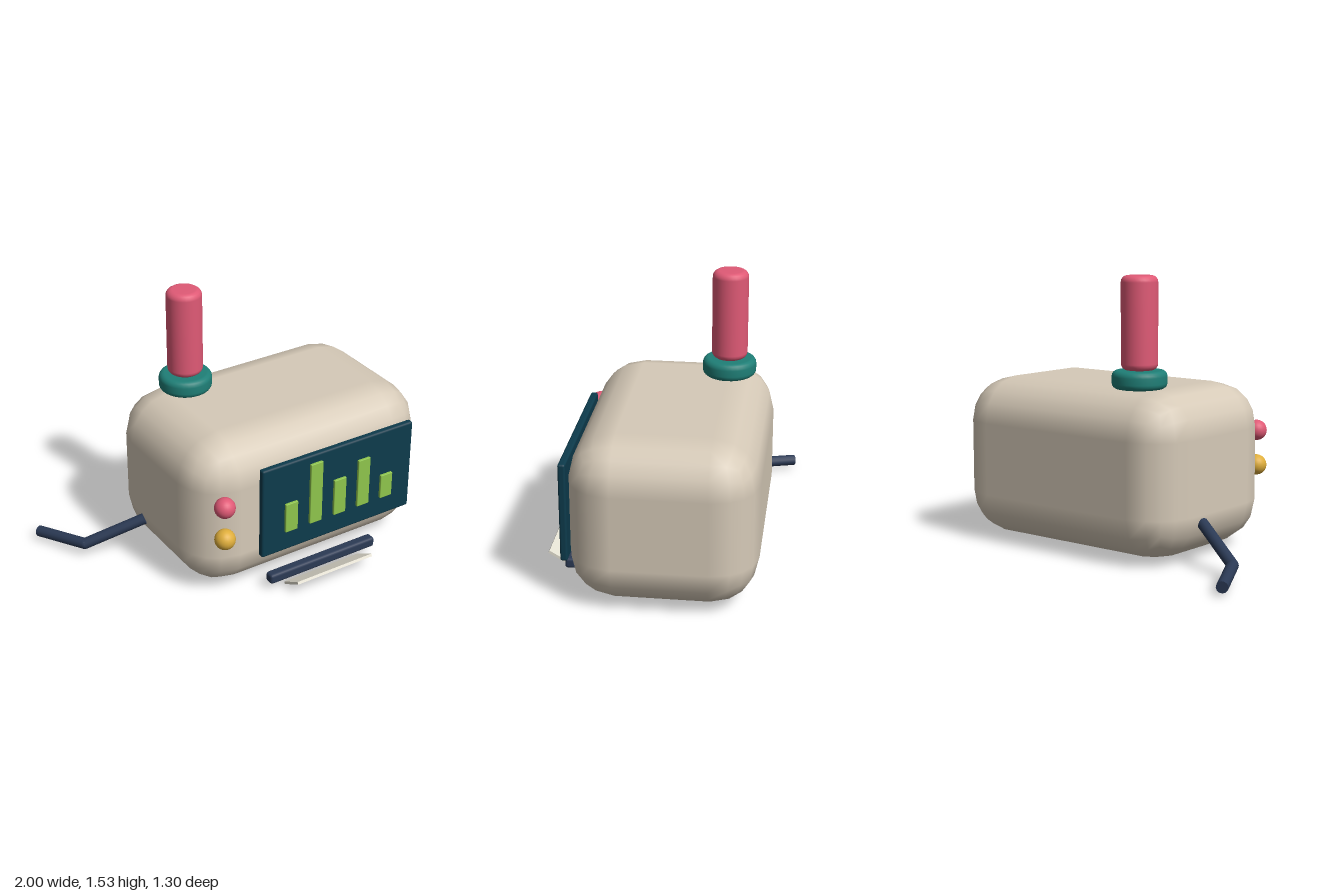
import * as THREE from 'three';
import { RoundedBoxGeometry } from 'three/addons/geometries/RoundedBoxGeometry.js';

const material = (name, color) => {
  const m = new THREE.MeshStandardMaterial({ color });
  m.name = name;
  return m;
};

export function createModel() {
  const model = new THREE.Group();
  const beige = material('beige shell', 0xd6cab8);
  const pink = material('pink', 0xe05a76);
  const teal = material('teal', 0x1f7f77);
  const screenBlue = material('screen blue', 0x0d3b4c);
  const green = material('bar green', 0x8fc64c);
  const amber = material('amber', 0xdfae3c);
  const navy = material('navy', 0x2b3a55);
  const paper = material('paper', 0xe6e2d4);

  const add = (name, geometry, mat, x, y, z, parent = model) => {
    const mesh = new THREE.Mesh(geometry, mat);
    mesh.name = name;
    mesh.position.set(x, y, z);
    parent.add(mesh);
    return mesh;
  };

  // Upright cylinder with rounded rims, standing on y = 0
  const roundedCylinder = (r, h, bevel) => {
    const pts = [new THREE.Vector2(0, 0)];
    for (const [cy, start] of [[bevel, -Math.PI / 2], [h - bevel, 0]]) {
      for (let i = 0; i <= 4; i++) {
        const a = start + (i / 4) * Math.PI / 2;
        pts.push(new THREE.Vector2(r - bevel + Math.cos(a) * bevel, cy + Math.sin(a) * bevel));
      }
    }
    pts.push(new THREE.Vector2(0, h));
    return new THREE.LatheGeometry(pts, 32);
  };

  // Body
  add('body', new RoundedBoxGeometry(1.52, 0.91, 1.0, 2, 0.25), beige, 0.24, 0.475, -0.03);

  // Screen with bar chart
  add('screen', new RoundedBoxGeometry(1.005, 0.555, 0.04, 2, 0.012), screenBlue, 0.343, 0.5025, 0.49);
  const bars = new THREE.Group();
  bars.name = 'chartBars';
  model.add(bars);
  [0.18, 0.38, 0.225, 0.3, 0.15].forEach((h, i) => {
    add('chartBar', new RoundedBoxGeometry(0.08, h, 0.02, 1, 0.004), green,
      0.024 + i * 0.161, 0.35 + h / 2, 0.515, bars);
  });

  // Side buttons
  add('upperButton', new THREE.SphereGeometry(0.058, 24, 16), pink, -0.39, 0.63, 0.497);
  add('lowerButton', new THREE.SphereGeometry(0.058, 24, 16), amber, -0.39, 0.43, 0.497);

  // Paper slot and the tilted sheet
  add('paperSlot', new RoundedBoxGeometry(0.71, 0.06, 0.06, 2, 0.016), navy, 0.24, 0.073, 0.508);
  const sheet = add('paperSheet', new THREE.BoxGeometry(0.505, 0.015, 0.15), paper, 0.24, 0.046, 0.582);
  sheet.rotation.x = -0.53;

  // Antenna
  add('antennaCollar', roundedCylinder(0.15, 0.1, 0.032), teal, -0.163, 0.93, -0.282);
  add('antennaRod', roundedCylinder(0.1, 0.505, 0.035), pink, -0.163, 1.03, -0.282);

  // Bent cable, as straight lengths with a ball at the elbow
  const cable = new THREE.Group();
  cable.name = 'cable';
  model.add(cable);
  const path = [[-0.51, 0.225, -0.18], [-0.82, 0.075, -0.335], [-0.968, 0.047, -0.632]]
    .map((p) => new THREE.Vector3(...p));
  for (let i = 0; i < 2; i++) {
    const dir = path[i + 1].clone().sub(path[i]);
    const mid = path[i].clone().add(path[i + 1]).multiplyScalar(0.5);
    const seg = add('cableLength', new THREE.CylinderGeometry(0.032, 0.032, dir.length(), 12), navy,
      mid.x, mid.y, mid.z, cable);
    seg.quaternion.setFromUnitVectors(new THREE.Vector3(0, 1, 0), dir.normalize());
  }
  add('cableElbow', new THREE.SphereGeometry(0.032, 12, 8), navy, path[1].x, path[1].y, path[1].z, cable);

  return model;
}
